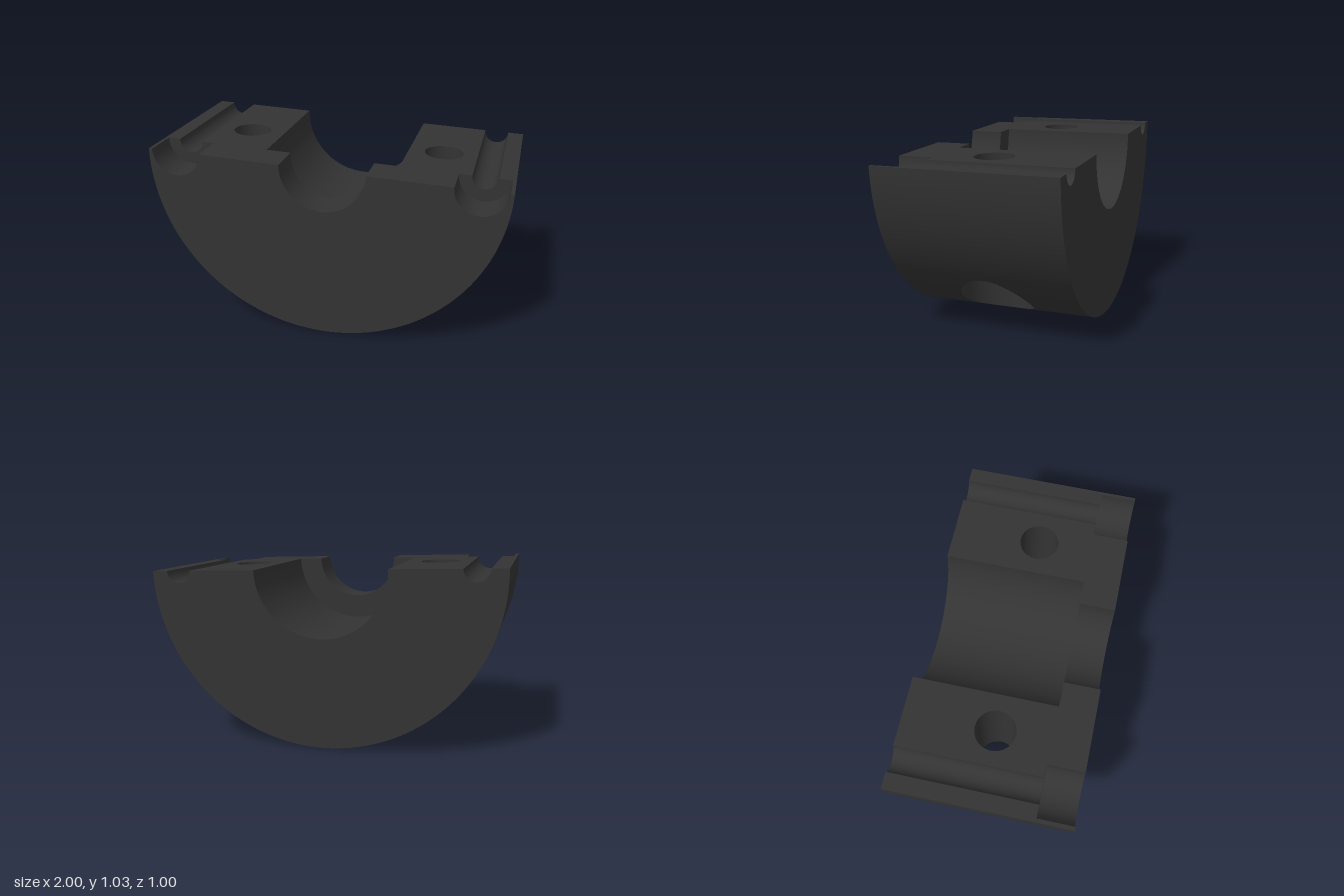
import * as THREE from 'three';
import { ParametricGeometry } from 'three/addons/geometries/ParametricGeometry.js';

const TILT = -0.034;
const Z0 = -0.5, STEP = 0.3, Z1 = 0.5;            // back, shoulder, front
const BORE = { front: 0.24, back: 0.38 };
const GROOVE = { x: 0.84, front: 0.14, back: 0.07 };
const BOLT = { x: 0.58, r: 0.11, head: 0.2, ledge: -0.6 };
const PATCH = { mid: 0.65, half: 0.35 };          // skin angles around each bolt hole

export function createModel() {
  const model = new THREE.Group();
  const block = new THREE.Group();                // half disc hanging below its flat top
  block.name = 'halfClampBlock';
  block.position.y = 1;
  block.rotation.z = TILT;
  model.add(block);

  const material = new THREE.MeshStandardMaterial({ color: 0x333333, side: THREE.DoubleSide });
  const add = (name, geometry) => {
    const mesh = new THREE.Mesh(geometry, material);
    mesh.name = name;
    block.add(mesh);
    return mesh;
  };
  const sheet = (name, nu, nv, f) =>
    add(name, new ParametricGeometry((u, v, p) => p.set(...f(u, v)), nu, nv));
  const mix = THREE.MathUtils.lerp;
  const skin = (phi, z) => [Math.sin(phi), -Math.cos(phi), z];

  // Half-round channel open to the top
  const channel = (name, x, r, za, zb) => sheet(name, 40, 1, (u, v) =>
    [x + r * Math.cos(Math.PI * u), -r * Math.sin(Math.PI * u), mix(za, zb, v)]);

  // End face: half disc with the bore and both grooves cut out of its top edge
  const endFace = (bore, groove) => {
    const s = new THREE.Shape();
    s.moveTo(-1, 0);
    s.absarc(0, 0, 1, Math.PI, 2 * Math.PI, false);
    for (const [x, r] of [[GROOVE.x, groove], [0, bore], [-GROOVE.x, groove]]) {
      s.lineTo(x + r, 0);
      s.absarc(x, 0, r, 0, -Math.PI, true);
    }
    s.closePath();
    return new THREE.ShapeGeometry(s, 64);
  };
  add('frontFace', endFace(BORE.front, GROOVE.front)).position.z = Z1;
  add('backFace', endFace(BORE.back, GROOVE.back).rotateY(Math.PI)).position.z = Z0;

  // Central bore with its shoulder
  channel('boreFront', 0, BORE.front, STEP, Z1);
  channel('boreBack', 0, BORE.back, Z0, STEP);
  add('boreShoulder', new THREE.RingGeometry(BORE.front, BORE.back, 40, 1, Math.PI, Math.PI)
    .rotateY(Math.PI)).position.z = STEP;

  // Plain stretches of the round underside
  const lo = PATCH.mid - PATCH.half, hi = PATCH.mid + PATCH.half;
  for (const [a, b] of [[-Math.PI / 2, -hi], [-lo, lo], [hi, Math.PI / 2]])
    sheet('roundUnderside', 20, 1, (u, v) => skin(mix(a, b, u), mix(Z0, Z1, v)));

  for (const side of [-1, 1]) {
    // Stepped groove near the outer edge
    const gx = side * GROOVE.x;
    channel('grooveFront', gx, GROOVE.front, STEP, Z1);
    channel('grooveBack', gx, GROOVE.back, Z0, STEP);
    const shoulder = add('grooveShoulder',
      new THREE.RingGeometry(GROOVE.back, GROOVE.front, 40, 1, Math.PI, Math.PI));
    shoulder.position.set(gx, 0, STEP);

    // Flat top, pierced by the bolt hole, and the thin rim beyond the groove
    const flat = (name, points, hole) => {
      const s = new THREE.Shape(points.map(([x, z]) => new THREE.Vector2(side * x, -z)));
      if (hole) s.holes.push(new THREE.Path().absarc(side * BOLT.x, 0, BOLT.r, 0, 2 * Math.PI, true));
      add(name, new THREE.ShapeGeometry(s, 64).rotateX(-Math.PI / 2));
    };
    const { x: g, front: gf, back: gb } = GROOVE;
    flat('topFace', [[BORE.front, Z1], [g - gf, Z1], [g - gf, STEP], [g - gb, STEP],
      [g - gb, Z0], [BORE.back, Z0], [BORE.back, STEP], [BORE.front, STEP]], true);
    flat('topRim', [[g + gf, Z1], [1, Z1], [1, Z0], [g + gb, Z0], [g + gb, STEP], [g + gf, STEP]]);

    // Bolt hole: skin around its mouth, counterbore wall, ledge, narrow hole
    const cx = side * BOLT.x;
    const ring = (u, r) => [cx + r * Math.cos(2 * Math.PI * u), r * Math.sin(2 * Math.PI * u)];
    sheet('undersideAroundHole', 64, 16, (u, v) => {
      const c = Math.cos(2 * Math.PI * u), s = Math.sin(2 * Math.PI * u);
      const k = 1 / Math.max(Math.abs(c), Math.abs(s));
      const [x, z] = ring(u, BOLT.head);
      return skin(mix(side * PATCH.mid + PATCH.half * k * c, Math.asin(x), v), mix(Z1 * k * s, z, v));
    });
    sheet('counterboreWall', 64, 1, (u, v) => {
      const [x, z] = ring(u, BOLT.head);
      return [x, mix(-Math.sqrt(1 - x * x), BOLT.ledge, v), z];
    });
    sheet('counterboreLedge', 64, 1, (u, v) => {
      const [x, z] = ring(u, mix(BOLT.head, BOLT.r, v));
      return [x, BOLT.ledge, z];
    });
    sheet('boltHole', 64, 1, (u, v) => {
      const [x, z] = ring(u, BOLT.r);
      return [x, mix(BOLT.ledge, 0, v), z];
    });
  }
  return model;
}
